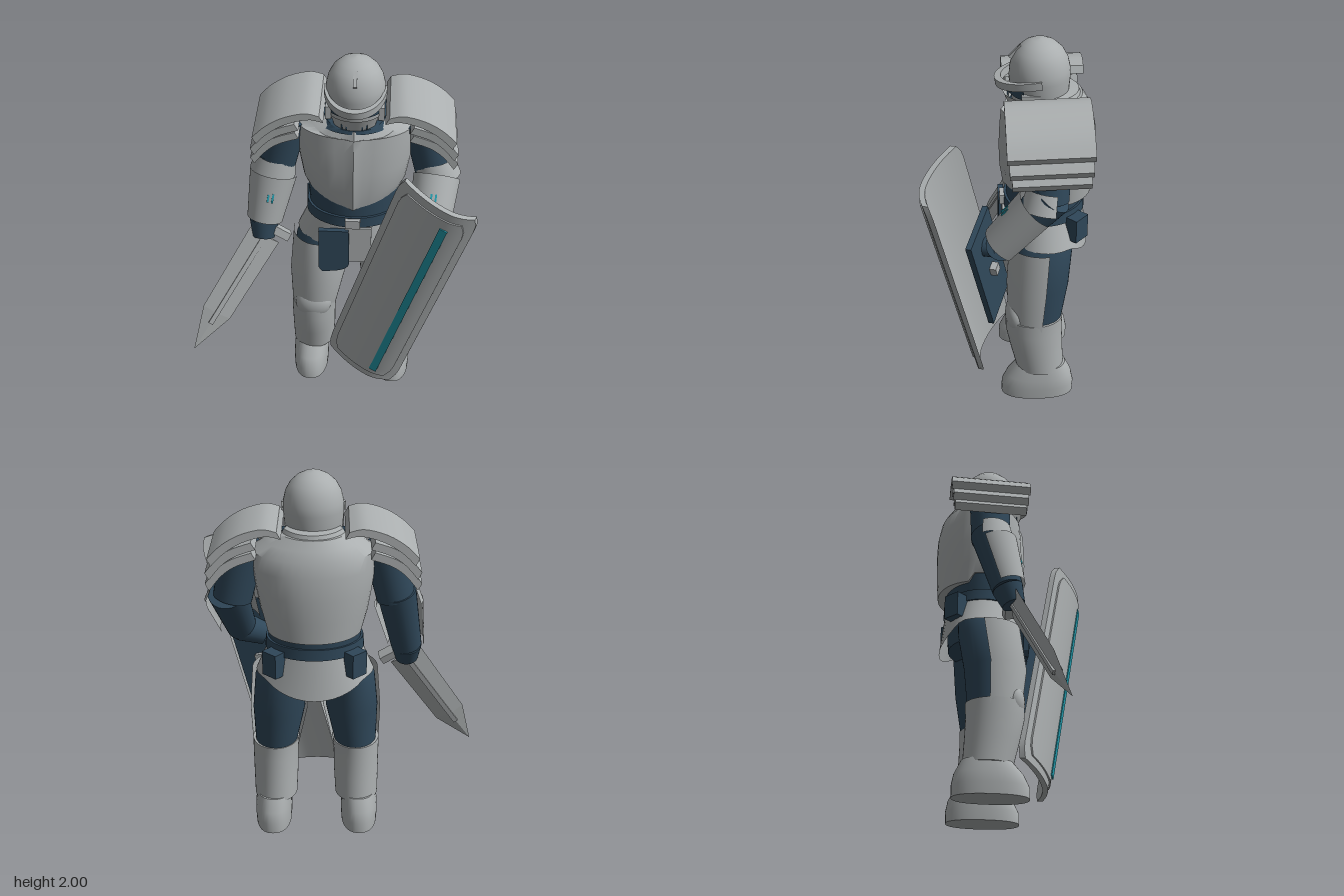
import * as THREE from 'three';
import { toCreasedNormals } from 'three/addons/utils/BufferGeometryUtils.js';

const V = (x, y, z) => new THREE.Vector3(x, y, z);
const CX = 0.12; // body centre line

export function createModel() {
  const model = new THREE.Group();
  const mat = (name, color) => new THREE.MeshStandardMaterial({ name, color });
  const steel = mat('steel', 0xabafb0);
  const cloth = mat('navy cloth', 0x2f4759);
  const teal = mat('teal inlay', 0x2399aa);
  steel.side = THREE.DoubleSide; // many plates are open shells

  const add = (name, geo, m, parent = model, pos) => {
    const mesh = new THREE.Mesh(geo, m);
    mesh.name = name;
    if (pos) mesh.position.set(...pos);
    parent.add(mesh);
    return mesh;
  };
  const box = (w, h, d) => new THREE.BoxGeometry(w, h, d);
  const clamp = v => Math.max(0, Math.min(1, v));

  // Loft through horizontal rings [y, cx, cz, rx, rz]; angle 0 faces the front
  function loft(rings, a0 = 0, a1 = Math.PI * 2, power = 1, bend) {
    const n = 40, pos = [], idx = [];
    const full = a1 - a0 > 6.28;
    const soft = v => Math.sign(v) * Math.abs(v) ** power;
    for (const [y, cx, cz, rx, rz] of rings) {
      for (let j = 0; j <= n; j++) {
        const a = a0 + (a1 - a0) * j / n;
        const p = V(cx + rx * soft(Math.sin(a)), y, cz + rz * soft(Math.cos(a)));
        if (bend) bend(p);
        pos.push(p.x, p.y, p.z);
      }
    }
    const w = n + 1;
    for (let i = 0; i < rings.length - 1; i++) {
      for (let j = 0; j < n; j++) {
        const p = i * w + j;
        idx.push(p, p + 1, p + w + 1, p, p + w + 1, p + w);
      }
    }
    if (full) {
      const last = rings.length - 1;
      for (const [i, flip] of [[0, true], [last, false]]) {
        const c = pos.length / 3, r = rings[i];
        pos.push(r[1], r[0], r[2]);
        for (let j = 0; j < n; j++) {
          const p = i * w + j;
          idx.push(c, flip ? p + 1 : p, flip ? p : p + 1);
        }
      }
    }
    const g = new THREE.BufferGeometry();
    g.setAttribute('position', new THREE.Float32BufferAttribute(pos, 3));
    g.setIndex(idx);
    return toCreasedNormals(g, 0.7);
  }

  // Tapered limb from low point a to high point b, optionally only an arc of it
  function limb(name, a, b, ra, rb, m, mid = null, half = 1.75) {
    const d = b.clone().sub(a), open = mid !== null;
    const g = new THREE.CylinderGeometry(rb, ra, d.length(), 28, 1, open,
      open ? mid - half : 0, open ? half * 2 : Math.PI * 2);
    const mesh = add(name, g, m);
    mesh.position.copy(a).add(b).multiplyScalar(0.5);
    mesh.quaternion.setFromUnitVectors(V(0, 1, 0), d.normalize());
    return mesh;
  }

  // Group whose local x and y follow the given directions
  function frame(name, x, y, pos) {
    const g = new THREE.Group();
    y.normalize();
    x.addScaledVector(y, -x.dot(y)).normalize();
    g.quaternion.setFromRotationMatrix(new THREE.Matrix4().makeBasis(x, y, x.clone().cross(y)));
    g.position.copy(pos);
    g.name = name;
    model.add(g);
    return g;
  }

  // Breastplate: central ridge, pointed lower edge, neckline dipping at the front
  const dip = p => { if (p.y > 1.65) p.y -= 0.06 * clamp((p.z + 0.17) / 0.14); };
  add('breastplate', loft([
    [1.19, CX, -0.205, 0.245, 0.22], [1.3, CX, -0.2, 0.272, 0.233], [1.42, CX, -0.2, 0.293, 0.237],
    [1.54, CX, -0.2, 0.308, 0.232], [1.62, CX, -0.195, 0.308, 0.22], [1.67, CX, -0.19, 0.245, 0.2],
    [1.715, CX, -0.185, 0.18, 0.178]], 0, Math.PI * 2, 0.97, p => {
    if (p.z > -0.15) p.z += 0.016 * Math.max(0, 1 - Math.abs(p.x - CX) / 0.04);
    if (p.y < 1.2 && p.z > -0.25) p.y += 0.05 * Math.min(1, Math.abs(p.x - CX) / 0.2);
    dip(p);
  }), steel);
  add('neck', loft([[1.64, CX, -0.17, 0.2, 0.18], [1.72, CX, -0.16, 0.165, 0.165]], 0, Math.PI * 2, 1, dip), cloth);
  add('backCollar', loft([[1.66, CX, -0.17, 0.2, 0.2], [1.735, CX, -0.16, 0.16, 0.185], [1.74, CX, -0.15, 0.14, 0.14]],
    2.0, 4.28), steel);
  add('waist', loft([[0.88, CX, -0.18, 0.2, 0.18], [1.08, CX, -0.18, 0.235, 0.195],
    [1.26, CX, -0.185, 0.245, 0.2]]), cloth);

  // Belt, buckle, flared skirt (longer behind) and pouches
  add('belt', loft([[1.08, CX, -0.18, 0.255, 0.21], [1.14, CX, -0.18, 0.25, 0.208]]), cloth);
  add('buckle', box(0.08, 0.05, 0.03), steel, model, [CX, 1.11, 0.035]);
  add('skirt', loft([[0.86, CX, -0.19, 0.305, 0.22], [1.08, CX, -0.18, 0.245, 0.203]], 0, 6.279, 1, p => {
    if (p.y < 1) p.y += 0.085 * clamp((p.z + 0.41) / 0.1);
  }), steel);
  add('frontTasset', box(0.14, 0.22, 0.015), steel, model, [0.15, 0.97, 0.03]);
  const flap = new THREE.Shape();
  flap.moveTo(-0.08, 0.13).lineTo(0.08, 0.13).lineTo(0.085, -0.08);
  flap.quadraticCurveTo(0.08, -0.12, 0.02, -0.13).lineTo(-0.06, -0.14).lineTo(-0.08, -0.11);
  add('hipFlap', new THREE.ExtrudeGeometry(flap, { depth: 0.03, bevelEnabled: false }), cloth, model, [0.02, 0.94, 0.025]);
  for (const s of [-1, 1]) {
    const pouch = add('pouch', box(0.095, 0.13, 0.075), cloth, model, [CX + s * 0.205, 1.045, -0.335]);
    pouch.rotation.y = s * 2.4;
  }

  // Helmet: shell, eye slit, face mask and brim
  const head = new THREE.Group();
  head.name = 'helmet';
  head.position.set(CX, 0, -0.15);
  model.add(head);
  const profile = [[0.13, 1.64], [0.145, 1.73], [0.152, 1.81], [0.15, 1.85], [0.138, 1.9],
    [0.115, 1.942], [0.08, 1.975], [0.04, 1.995], [0, 2]].map(p => new THREE.Vector2(...p));
  add('helmetShell', new THREE.LatheGeometry(profile, 40), steel, head);
  const arc = (r0, r1, h, half) => new THREE.CylinderGeometry(r1, r0, h, 24, 1, true, -half, half * 2);
  add('eyeSlit', arc(0.153, 0.156, 0.045, 1.0), cloth, head, [0, 1.752, 0]);
  const mask = add('faceMask', arc(0.125, 0.16, 0.095, 0.85), steel, head, [0, 1.683, 0]);
  mask.scale.z = 1.15;
  for (const x of [-0.062, -0.04, 0.04, 0.062]) {
    add('breathSlit', box(0.008, 0.035, 0.008), cloth, head, [x, 1.685, 0.165 - Math.abs(x) * 0.25]);
  }
  for (const s of [-1, 1]) add('cheekGuard', box(0.03, 0.07, 0.09), steel, head, [s * 0.135, 1.725, 0.05]);
  const brim = new THREE.Shape();
  brim.absellipse(0, 0, 0.16, 0.228, 0, Math.PI, false);
  brim.absellipse(0, 0, 0.145, 0.195, Math.PI, 0, true);
  const brimGeo = new THREE.ExtrudeGeometry(brim, { depth: 0.04, bevelEnabled: false, curveSegments: 24 });
  const brimMesh = add('brim', toCreasedNormals(brimGeo.rotateX(Math.PI / 2), 0.6), steel, head, [0, 1.84, 0]);
  brimMesh.rotation.x = 0.17;
  const crest = add('crestNotch', box(0.02, 0.08, 0.02), steel, head, [0, 1.93, 0.118]);
  crest.rotation.x = -0.75;

  // Layered shoulder plates, tipped slightly forward
  const lames = [
    [[0.175, 1.76], [0.25, 1.775], [0.36, 1.745], [0.45, 1.69], [0.515, 1.625]],
    [[0.3, 1.705], [0.4, 1.67], [0.47, 1.62], [0.528, 1.55]],
    [[0.3, 1.65], [0.4, 1.615], [0.47, 1.565], [0.53, 1.49]]];
  for (const s of [-1, 1]) {
    lames.forEach((pts, k) => {
      const line = new THREE.SplineCurve(pts.map(([x, y]) => new THREE.Vector2(CX + s * x, y - 1.65))).getPoints(14);
      const under = line.map(p => new THREE.Vector2(p.x - s * 0.02, p.y - 0.036)).reverse();
      const depth = 0.415 - k * 0.02;
      const g = new THREE.ExtrudeGeometry(new THREE.Shape([...line, ...under]), { depth, bevelEnabled: false });
      const plate = add('shoulderPlate', toCreasedNormals(g.translate(0, 0, -depth / 2), 0.6), steel, model, [0, 1.65, -0.178]);
      plate.rotation.x = 0.03;
    });
    limb('upperArm', V(CX + s * 0.415, 1.34, -0.175), V(CX + s * 0.35, 1.64, -0.175), 0.1, 0.11, cloth);
  }

  // Legs
  for (const s of [-1, 1]) {
    const x = d => CX + s * d;
    const thigh = [[0.46, x(0.215), -0.135, 0.108, 0.13], [0.7, x(0.193), s < 0 ? -0.13 : -0.15, 0.138, 0.155],
      [0.9, x(0.185), -0.165, 0.128, 0.155], [1.0, x(0.15), -0.18, 0.11, 0.14]];
    add('thigh', loft(thigh), cloth);
    const cuisse = thigh.slice(0, 3).map(([y, cx, cz, rx, rz]) => [y, cx, cz, rx + 0.015, rz + 0.015]);
    cuisse[2][0] = 0.94;
    add('thighPlate', loft(cuisse, -1.75, 1.75), steel);
    add('greave', loft([[0.17, x(0.22), -0.16, 0.115, 0.128], [0.3, x(0.218), -0.14, 0.12, 0.14],
      [0.42, x(0.218), -0.125, 0.122, 0.15], [0.5, x(0.215), -0.125, 0.125, 0.152]]), steel);
    const knee = add('kneePlate', new THREE.SphereGeometry(0.1, 24, 14), steel, model, [x(0.215), 0.51, -0.035]);
    knee.scale.set(1, 1, 0.64);
    add('boot', loft([[0, x(0.235), -0.145, 0.097, 0.195], [0.06, x(0.235), -0.147, 0.1, 0.195],
      [0.12, x(0.235), -0.155, 0.098, 0.175], [0.19, x(0.23), -0.167, 0.09, 0.128]], 0, Math.PI * 2, 0.85), steel);
  }

  // Forearms: cloth core, steel bracer, elbow band, inlay and glove
  function forearm(elbow, wrist, hand, facing, half, inlayAngle, cuff) {
    limb('forearm', wrist, elbow, 0.08, 0.102, cloth);
    const at = t => elbow.clone().lerp(wrist, t);
    const bracer = limb('bracer', at(0.97), at(0.22), cuff, 0.127, steel, facing, half);
    const r = (cuff + 0.127) / 2 + 0.003;
    for (const dx of [-0.012, 0.012]) {
      const inlay = add('armInlay', box(0.01, 0.05, 0.006), teal, bracer,
        [Math.sin(inlayAngle) * r + dx, 0.02, Math.cos(inlayAngle) * r]);
      inlay.rotation.set(-0.08, inlayAngle, 0, 'YXZ');
    }
    limb('glove', hand, wrist, 0.06, 0.08, cloth);
  }
  forearm(V(-0.295, 1.38, -0.18), V(-0.36, 1.03, -0.09), V(-0.365, 0.94, -0.06), -0.25, 1.75, 0.1, 0.096);
  forearm(V(0.56, 1.38, -0.19), V(0.515, 1.07, 0.05), V(0.39, 1.02, 0.06), 0.3, 1.6, -0.05, 0.11);
  limb('elbowBand', V(-0.315, 1.3, -0.17), V(-0.295, 1.4, -0.175), 0.122, 0.106, steel, -0.25, 1.8);
  limb('elbowBand', V(0.56, 1.3, -0.16), V(0.535, 1.4, -0.175), 0.122, 0.106, steel, 0.4, 1.5);

  // Sword, its point along local +y
  const sword = frame('sword', V(0.87, -0.46, 0), V(-0.39, -0.64, 0.22), V(-0.36, 0.95, -0.055));
  const flat = g => { const f = g.toNonIndexed(); f.computeVertexNormals(); return f; };
  add('blade', flat(new THREE.CylinderGeometry(0.083, 0.09, 0.53, 4).scale(1, 1, 0.24)), steel, sword, [0, 0.265, 0]);
  add('bladeTip', flat(new THREE.ConeGeometry(0.083, 0.26, 4).scale(1, 1, 0.24)), steel, sword, [0, 0.66, 0]);
  add('bladeRib', box(0.026, 0.6, 0.05), steel, sword, [0, 0.3, 0]);
  add('crossGuard', box(0.2, 0.045, 0.06), steel, sword, [0.02, -0.06, 0]);

  // Shield: curved slab with cut corners, raised panel, inlay and back board
  const shield = frame('shield', V(0.36, -0.11, 0.13), V(0.375, 1.31, 0.25), V(0.373, 0.85, 0.207));
  const bulge = u => { const t = u < 0.06 ? (0.06 - u) / 0.27 : (u - 0.06) / 0.155; return 0.072 * (1 - t * t); };
  function curvedSlab(w, h, d, lift, cut) {
    const g = new THREE.BoxGeometry(w, h, d, 16, 28, 1), p = g.attributes.position;
    for (let i = 0; i < p.count; i++) {
      const y = p.getY(i);
      const u = p.getX(i) * (1 - cut * Math.max(0, Math.abs(y) - h / 2 + 0.06) / 0.06);
      p.setXYZ(i, u, y, p.getZ(i) + bulge(u) + lift);
    }
    return toCreasedNormals(g, 0.5);
  }
  add('shieldBody', curvedSlab(0.43, 1.38, 0.03, 0, 0.1), steel, shield);
  add('shieldPanel', curvedSlab(0.36, 1.29, 0.02, 0.013, 0.15), steel, shield);
  add('shieldInlay', box(0.042, 1.2, 0.008), teal, shield, [0.084, -0.01, 0.096]);
  add('shieldBoard', box(0.28, 0.62, 0.03), cloth, shield, [0, 0.015, -0.1]);
  add('shieldStud', box(0.05, 0.05, 0.04), steel, shield, [0.0, 0, -0.13]);
  const grip = add('shieldGrip', new THREE.CylinderGeometry(0.05, 0.05, 0.08, 20), cloth, shield, [0, 0.18, -0.145]);
  grip.rotation.x = Math.PI / 2;

  return model;
}
